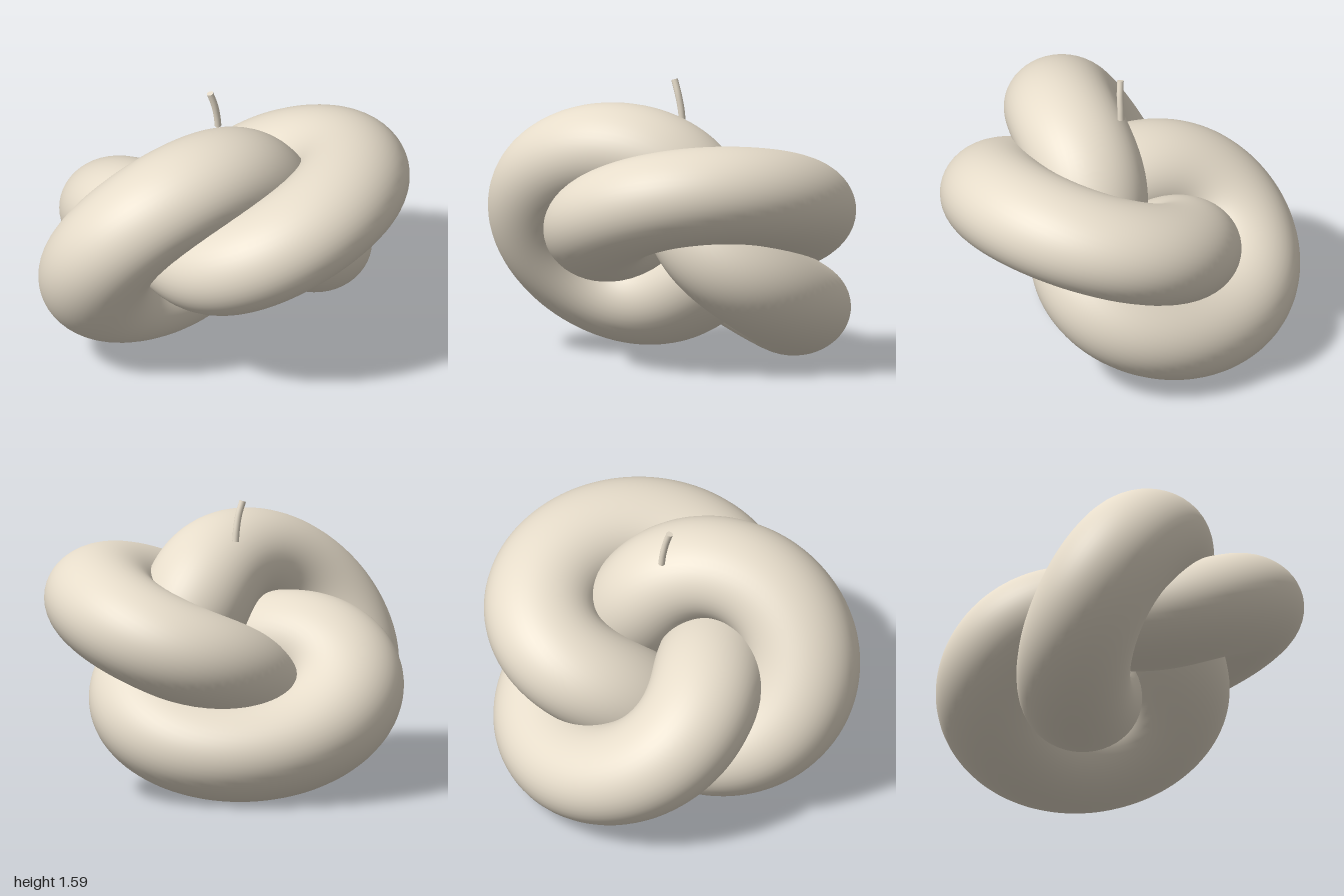
import * as THREE from 'three';

// Axes of the tilted knot: U points at the first lobe, N is the threefold axis
const U = new THREE.Vector3(0.887, 0.463, 0.015);
const V = new THREE.Vector3(-0.241, 0.434, 0.867);
const N = new THREE.Vector3(-0.394, 0.772, -0.496);

// Trefoil winding twice around its axis while waving three times
class TrefoilCurve extends THREE.Curve {
  getPoint(t, target = new THREE.Vector3()) {
    const s = t * Math.PI * 2;
    const r = 0.578 + 0.253 * Math.cos(3 * s);
    return target.set(0, 0, 0)
      .addScaledVector(U, r * Math.cos(2 * s))
      .addScaledVector(V, r * Math.sin(2 * s))
      .addScaledVector(N, -0.265 * Math.sin(3 * s));
  }
}

export function createModel() {
  const group = new THREE.Group();
  const wax = new THREE.MeshStandardMaterial({ color: 0xe6dcca });
  wax.name = 'warm cream';

  const add = (name, geometry) => {
    const mesh = new THREE.Mesh(geometry, wax);
    mesh.name = name;
    group.add(mesh);
    return mesh;
  };

  // Fat knotted body with a slightly flattened, sagging strand
  const knot = new THREE.TubeGeometry(new TrefoilCurve(), 360, 0.318, 48, true);
  knot.scale(1, 0.855, 1);
  knot.computeBoundingBox();
  const { min, max } = knot.boundingBox;
  knot.translate(-(min.x + max.x) / 2, -min.y, -0.003);
  add('knotBody', knot);

  // Thin bent wick rising from the upper strand
  const path = new THREE.CatmullRomCurve3([
    new THREE.Vector3(-0.065, 1.355, -0.006),
    new THREE.Vector3(-0.07, 1.42, 0),
    new THREE.Vector3(-0.082, 1.5, 0.012),
    new THREE.Vector3(-0.105, 1.58, 0.025),
  ]);
  add('wick', new THREE.TubeGeometry(path, 24, 0.019, 16, false));

  // Flat ends of the wick
  for (const [name, t, sign] of [['wickBase', 0, -1], ['wickTip', 1, 1]]) {
    const cap = add(name, new THREE.CircleGeometry(0.019, 16));
    cap.position.copy(path.getPoint(t));
    cap.quaternion.setFromUnitVectors(
      new THREE.Vector3(0, 0, 1), path.getTangent(t).multiplyScalar(sign));
  }

  return group;
}
